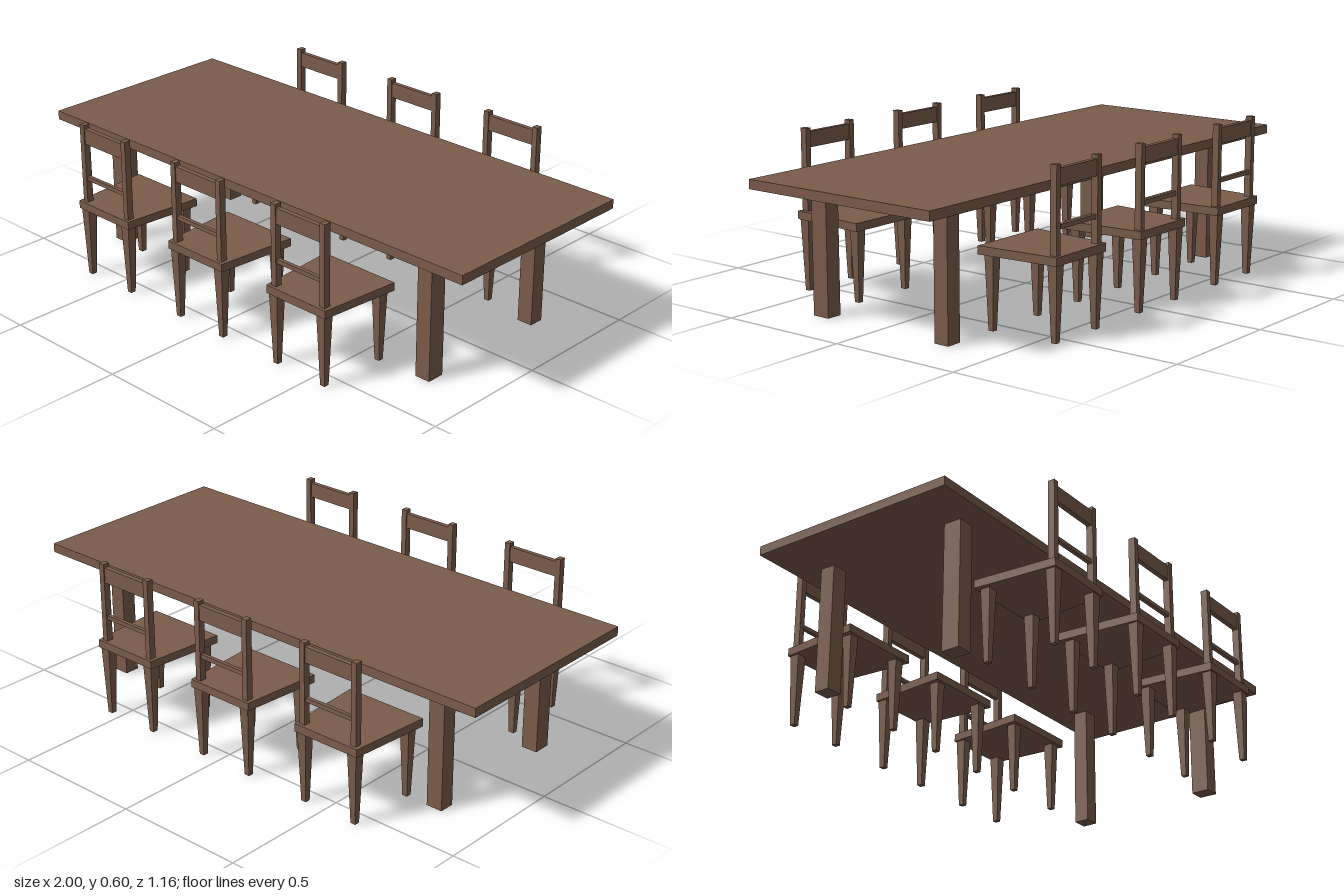
import * as THREE from 'three';

const wood = new THREE.MeshStandardMaterial({ color: 0x7a5c4a, flatShading: true });

function add(parent, name, geometry, x, y, z) {
  const mesh = new THREE.Mesh(geometry, wood);
  mesh.name = name;
  mesh.position.set(x, y, z);
  parent.add(mesh);
  return mesh;
}

// Box given by its minimum and maximum corners
function block(parent, name, [x0, y0, z0], [x1, y1, z1]) {
  return add(parent, name, new THREE.BoxGeometry(x1 - x0, y1 - y0, z1 - z0),
    (x0 + x1) / 2, (y0 + y1) / 2, (z0 + z1) / 2);
}

// Square leg narrowing towards the floor
function taperedLeg(parent, name, x, z, height, top, bottom) {
  const g = new THREE.CylinderGeometry(top / Math.SQRT2, bottom / Math.SQRT2, height, 4);
  g.rotateY(Math.PI / 4);
  return add(parent, name, g, x, height / 2, z);
}

// Seat board, wider at the table side (-z) than at the backrest (+z)
function seatGeometry(backWidth, frontWidth, height, depth) {
  const g = new THREE.BoxGeometry(1, height, depth);
  const p = g.attributes.position;
  for (let i = 0; i < p.count; i++) {
    p.setX(i, p.getX(i) * (p.getZ(i) > 0 ? backWidth : frontWidth));
  }
  g.computeVertexNormals();
  return g;
}

// Chair with its backrest on the +z side
function createChair() {
  const chair = new THREE.Group();
  chair.name = 'chair';
  add(chair, 'seat', seatGeometry(0.272, 0.322, 0.03, 0.31), 0, 0.28, 0.425);
  for (const s of [-1, 1]) {
    taperedLeg(chair, 'rearLeg', s * 0.11, 0.556, 0.266, 0.038, 0.02);
    taperedLeg(chair, 'frontLeg', s * 0.122, 0.301, 0.266, 0.038, 0.02);
    const post = new THREE.BoxGeometry(0.022, 0.305, 0.026);
    add(chair, 'backPost', post, s * 0.112, 0.4445, 0.556);
  }
  block(chair, 'topRail', [-0.102, 0.525, 0.547], [0.102, 0.583, 0.565]);
  block(chair, 'lowerRail', [-0.102, 0.38, 0.549], [0.102, 0.396, 0.563]);
  return chair;
}

export function createModel() {
  const model = new THREE.Group();
  model.name = 'diningSet';

  // Table
  const table = new THREE.Group();
  table.name = 'table';
  block(table, 'tableTop', [-1, 0.466, -0.41], [1, 0.5, 0.39]);
  for (const [x0, x1] of [[-0.8, -0.737], [0.74, 0.8]]) {
    for (const [z0, z1] of [[0.232, 0.3], [-0.308, -0.25]]) {
      block(table, 'tableLeg', [x0, 0, z0], [x1, 0.467, z1]);
    }
  }
  model.add(table);

  // Three chairs on each long side
  const rows = [
    { name: 'frontChair', turn: 0, xs: [-0.524, -0.037, 0.452] },
    { name: 'backChair', turn: Math.PI, xs: [-0.521, -0.036, 0.44] },
  ];
  for (const { name, turn, xs } of rows) {
    for (const x of xs) {
      const chair = createChair();
      chair.name = name;
      chair.position.x = x;
      chair.rotation.y = turn;
      model.add(chair);
    }
  }
  return model;
}
